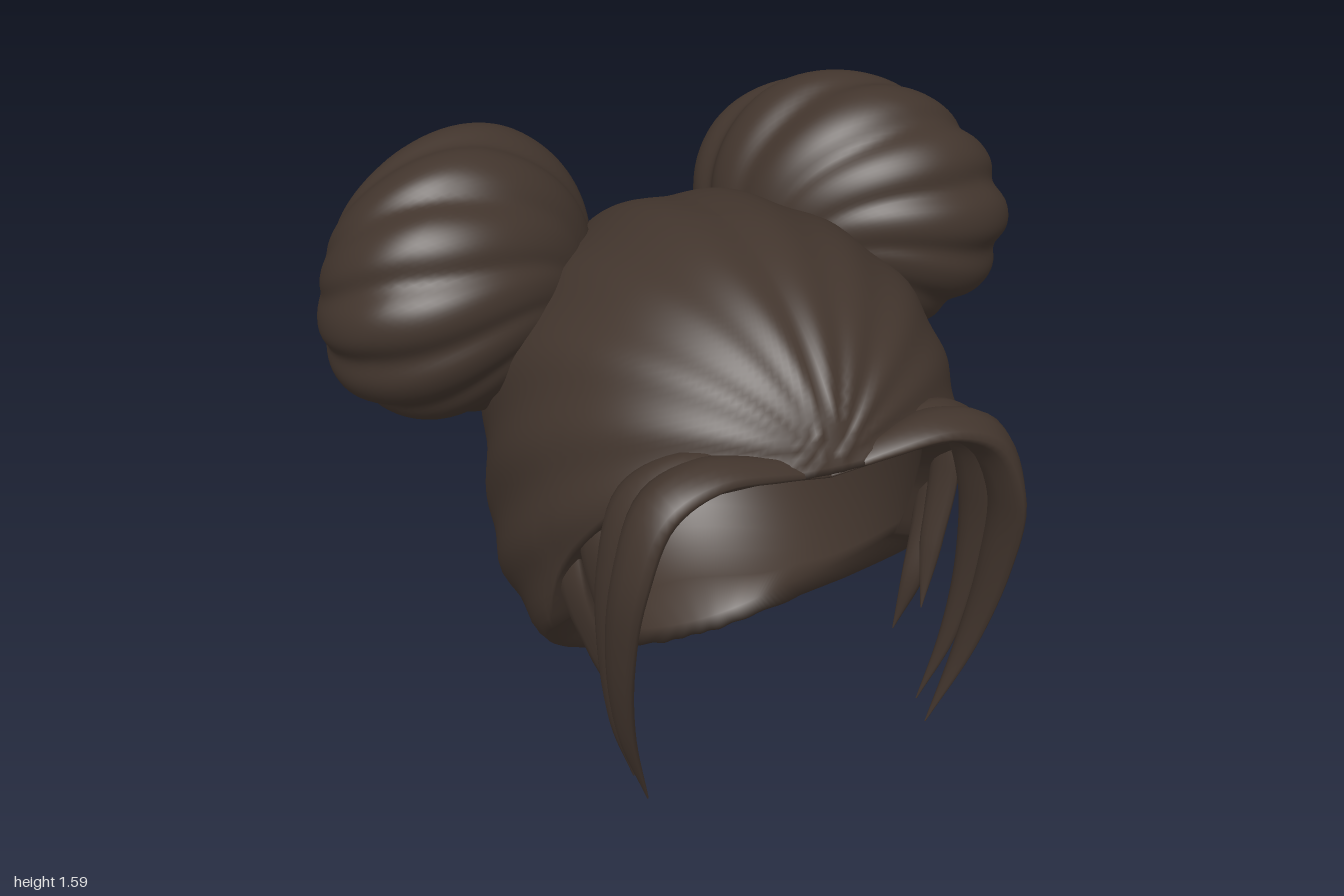
import * as THREE from 'three';

const hair = new THREE.MeshStandardMaterial({ color: 0x42352d, side: THREE.DoubleSide });
hair.name = 'darkBrownHair';

// Surface from point(u, angle): u runs 0..1, the angle closes on itself; side -1 mirrors in x
function loft(name, nu, nv, point, side = 1) {
  const pos = [], index = [];
  for (let i = 0; i <= nu; i++) {
    for (let j = 0; j < nv; j++) {
      const p = point(i / nu, (j / nv) * Math.PI * 2);
      pos.push(p.x * side, p.y, p.z);
      if (i === nu) continue;
      const k = (j + 1) % nv;
      const a = i * nv + j, b = a + nv, c = i * nv + k, d = c + nv;
      if (side > 0) index.push(a, b, c, c, b, d);
      else index.push(a, c, b, c, d, b);
    }
  }
  const g = new THREE.BufferGeometry();
  g.setAttribute('position', new THREE.Float32BufferAttribute(pos, 3));
  g.setIndex(index);
  g.computeVertexNormals();
  const mesh = new THREE.Mesh(g, hair);
  mesh.name = name;
  return mesh;
}

// Piecewise linear lookup in [key, value] pairs with rising keys
function lookup(table, x) {
  if (x <= table[0][0]) return table[0][1];
  for (let i = 1; i < table.length; i++) {
    const [x0, y0] = table[i - 1], [x1, y1] = table[i];
    if (x <= x1) return y0 + ((y1 - y0) * (x - x0)) / (x1 - x0);
  }
  return table[table.length - 1][1];
}

// Hairline height for each depth z, from nape to forehead
const hairline = [[-0.22, 0.01], [-0.12, 0.02], [-0.08, 0.1], [0, 0.17], [0.1, 0.27], [0.2, 0.37], [0.27, 0.43],
  [0.34, 0.62], [0.4, 0.72], [0.5, 0.86], [0.72, 1.0]];

// Skull shape: egg-like sections, longer at the back
function skull(y, a) {
  const s = y > 0.75
    ? Math.sqrt(Math.max(0, 1 - Math.pow((y - 0.75) / 0.68, 2.3)))
    : Math.sqrt(Math.max(0, 1 - Math.pow((0.75 - y) / 0.75, 2.7)));
  const c = Math.cos(a);
  return new THREE.Vector3(0.63 * s * Math.sin(a), y, 0.08 + (c > 0 ? 0.7 : 0.745) * s * c);
}

function rimHeight(a) {
  let lo = 0.008, hi = 1.43;
  for (let i = 0; i < 30; i++) {
    const m = (lo + hi) / 2;
    if (m > lookup(hairline, skull(m, a).z)) hi = m;
    else lo = m;
  }
  return hi;
}

// Combed grooves: arcs that fan out from the forehead and meet again at the nape
function combing(p) {
  const dy = p.y - 1.0, dz = p.z - 0.72;
  const angle = Math.abs(Math.atan2(p.x, 0.75 * dy - 0.66 * dz));
  const along = Math.min(1, Math.max(0, (-0.66 * dy - 0.75 * dz) / 1.36));
  const wave = -0.6 * Math.cos(20 * angle) + 0.4 * Math.sin(9 * angle + 2.5 * along);
  return wave * Math.min(1, 0.35 + 1.5 * along) * (1 - 0.9 * Math.pow(along, 4));
}

// Cap of hair: combed outer layer, turned in at the hairline to a smooth inner layer
function makeCap() {
  const centre = new THREE.Vector3(0, 0.75, 0);
  const lining = new THREE.Vector3(0.82, 0.92, 0.91);
  return loft('hairCap', 81, 200, (u, a) => {
    const t = Math.min(1, (u > 0.5 ? 1 - u : u) * 81 / 40);
    const y = 1.43 - (1.43 - rimHeight(a)) * Math.pow(t, 1.5);
    const p = skull(y, a);
    const wave = combing(p);
    p.sub(centre);
    if (u > 0.5) p.multiply(lining);
    else p.multiplyScalar(1 + 0.022 * wave);
    return p.add(centre);
  });
}

// Bun: oval ball, fuller towards the head, with soft locks spiralling to its pole
function makeBun(side) {
  const axis = new THREE.Vector3(0.7, 0.34, -0.63).normalize();
  const across = new THREE.Vector3(0, 1, 0).cross(axis).normalize();
  const frame = new THREE.Matrix4().makeBasis(across, axis, across.clone().cross(axis));
  return loft(side > 0 ? 'leftBun' : 'rightBun', 64, 132, (u, a) => {
    const polar = u * Math.PI, r = Math.sin(polar);
    const psi = 10 * (a + 1.15 * polar + 0.3 * Math.sin(2 * polar));
    const lobe = Math.sin(psi + 0.4 * Math.cos(psi)) + 0.35 * Math.sin(0.3 * psi);
    const k = 1 + 0.032 * lobe * r * r;
    const depth = u < 0.5 ? 0.305 : 0.37;
    return new THREE.Vector3(0.455 * r * Math.sin(a), depth * Math.cos(polar), 0.385 * r * Math.cos(a))
      .multiplyScalar(k).applyMatrix4(frame).add(new THREE.Vector3(0.605, 1.215, -0.355));
  }, side);
}

// Tapered lock along a path; each point is [x, y, z, half width along z, half thickness]
function makeLock(name, points, side) {
  const path = new THREE.CatmullRomCurve3(points.map((p) => new THREE.Vector3(p[0], p[1], p[2])));
  const size = new THREE.CatmullRomCurve3(points.map((p) => new THREE.Vector3(p[3], p[4], 0)));
  const zAxis = new THREE.Vector3(0, 0, 1);
  return loft(name, 40, 16, (u, a) => {
    const p = path.getPoint(u), s = size.getPoint(u), tangent = path.getTangent(u);
    const n = new THREE.Vector3().crossVectors(zAxis, tangent).normalize();
    const ridge = 1 + 0.08 * Math.cos(4 * a);
    return p.addScaledVector(zAxis, Math.cos(a) * s.x * ridge).addScaledVector(n, Math.sin(a) * s.y * ridge);
  }, side);
}

const locks = {
  FrontFringe: [[0, 0.98, 0.69, 0.03, 0.012], [0.15, 1.02, 0.7, 0.05, 0.028], [0.32, 1.04, 0.69, 0.08, 0.035],
    [0.45, 0.98, 0.69, 0.085, 0.048], [0.525, 0.8, 0.695, 0.08, 0.042], [0.535, 0.55, 0.645, 0.065, 0.034],
    [0.5, 0.28, 0.585, 0.04, 0.022], [0.42, 0.01, 0.53, 0.002, 0.002]],
  RearFringe: [[0, 0.97, 0.67, 0.03, 0.012], [0.18, 1.0, 0.65, 0.05, 0.03], [0.35, 1.02, 0.61, 0.075, 0.04],
    [0.46, 0.94, 0.575, 0.085, 0.046], [0.515, 0.75, 0.565, 0.075, 0.04], [0.52, 0.5, 0.54, 0.05, 0.03],
    [0.49, 0.26, 0.505, 0.03, 0.02], [0.43, 0.04, 0.46, 0.002, 0.002]],
  TempleWisp: [[0.49, 0.95, 0.39, 0.004, 0.004], [0.51, 0.76, 0.41, 0.06, 0.03], [0.47, 0.53, 0.43, 0.04, 0.03],
    [0.43, 0.34, 0.46, 0.002, 0.002]],
  EarWisp: [[0.52, 0.85, 0.27, 0.004, 0.004], [0.53, 0.6, 0.315, 0.07, 0.035], [0.47, 0.39, 0.35, 0.035, 0.035],
    [0.42, 0.2, 0.33, 0.002, 0.002]],
};

export function createModel() {
  const model = new THREE.Group();
  model.name = 'hairstyle';
  model.add(makeCap());
  for (const side of [1, -1]) {
    model.add(makeBun(side));
    for (const [name, points] of Object.entries(locks)) {
      model.add(makeLock((side > 0 ? 'left' : 'right') + name, points, side));
    }
  }
  return model;
}
